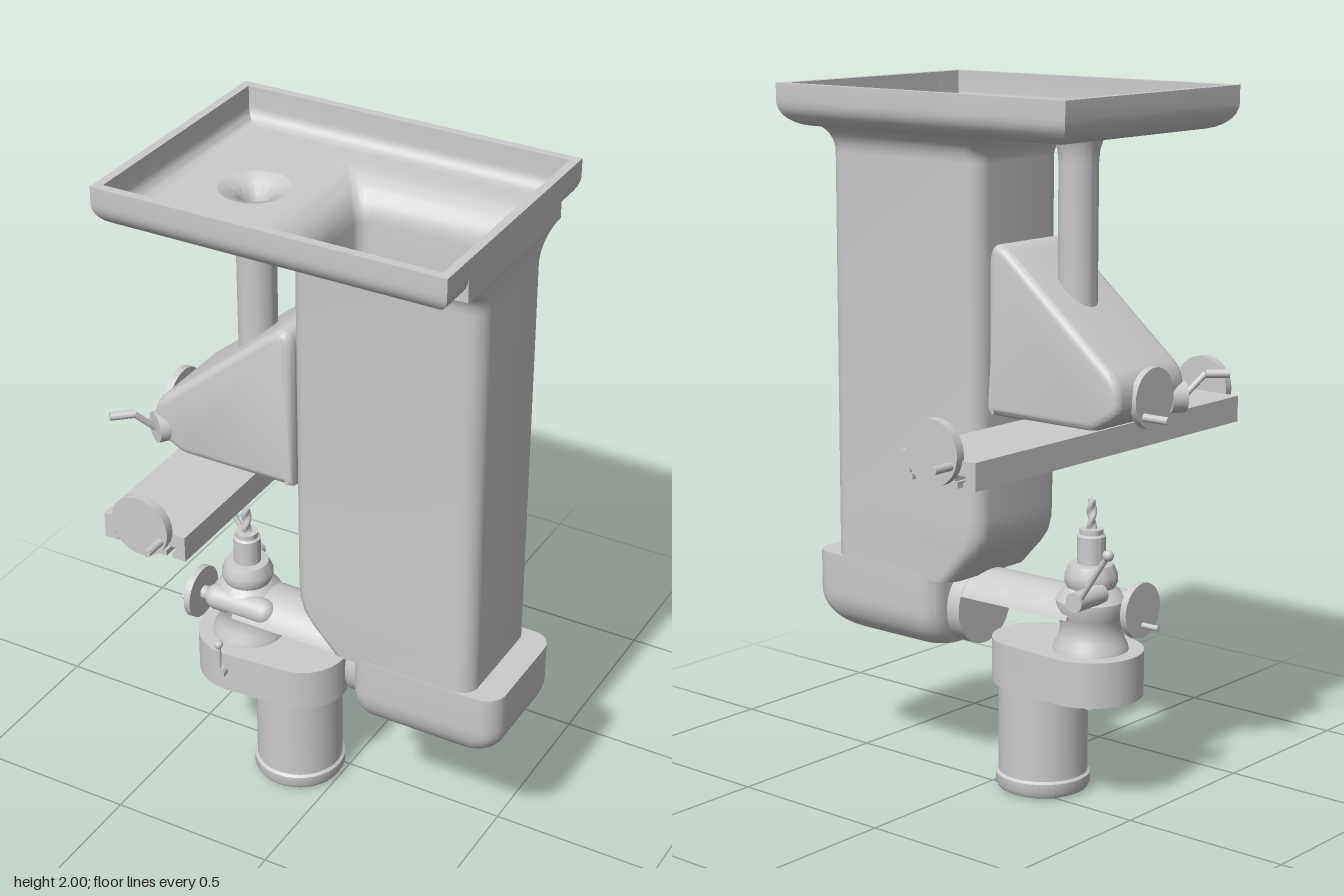
import * as THREE from 'three';
import { toCreasedNormals } from 'three/addons/utils/BufferGeometryUtils.js';

const MAT = new THREE.MeshStandardMaterial({ color: 0xcccccc, side: THREE.DoubleSide });
const V = (x, y, z) => new THREE.Vector3(x, y, z);
const ZC = 0.065; // centre plane of the machine
const HX = -0.305; // spindle axis

export function createModel() {
  const root = new THREE.Group();

  const add = (name, geo) => {
    const m = new THREE.Mesh(geo, MAT);
    m.name = name;
    root.add(m);
    return m;
  };

  // Cylinder or cone between two points
  const rod = (name, a, b, r, r2 = r, seg = 32) => {
    const m = add(name, new THREE.CylinderGeometry(r2, r, a.distanceTo(b), seg));
    m.position.copy(a).lerp(b, 0.5);
    m.quaternion.setFromUnitVectors(V(0, 1, 0), b.clone().sub(a).normalize());
    return m;
  };
  const ball = (name, p, r) => add(name, new THREE.SphereGeometry(r, 20, 14)).position.copy(p);
  const lathe = (name, x, pts) => {
    const geo = new THREE.LatheGeometry(pts.map(p => new THREE.Vector2(p[0], p[1])), 48);
    add(name, toCreasedNormals(geo, 0.6)).position.set(x, 0, ZC);
  };

  // Skin joining cross-sections that share a point count
  const loft = (name, rings, { closed = true, capEnd = false } = {}) => {
    const n = rings[0].length, pos = rings.flat().flatMap(p => [p.x, p.y, p.z]), idx = [];
    for (let i = 0; i < rings.length - 1; i++) {
      for (let j = 0; j < (closed ? n : n - 1); j++) {
        const a = i * n + j, b = i * n + (j + 1) % n;
        idx.push(a, b, a + n, b, b + n, a + n);
      }
    }
    if (capEnd) {
      const s = (rings.length - 1) * n;
      for (let j = 1; j < n - 1; j++) idx.push(s, s + j, s + j + 1);
    }
    const g = new THREE.BufferGeometry();
    g.setAttribute('position', new THREE.Float32BufferAttribute(pos, 3));
    g.setIndex(idx);
    return add(name, toCreasedNormals(g, 0.6));
  };

  // Horizontal rounded rectangle at height y
  const ring = (y, x0, x1, z0, z1, r) => {
    const pts = [];
    [[x1 - r, z1 - r], [x0 + r, z1 - r], [x0 + r, z0 + r], [x1 - r, z0 + r]].forEach(([cx, cz], q) => {
      for (let i = 0; i <= 8; i++) {
        const t = (q + i / 8) * Math.PI / 2;
        pts.push(V(cx + r * Math.cos(t), y, cz + r * Math.sin(t)));
      }
    });
    return pts;
  };
  const quarter = (n, f) => Array.from({ length: n + 1 }, (_, i) => f(i / n * Math.PI / 2));

  // Hollow column: flared mouth, straight walls, sloping foot
  const column = (name, x0, x1, z0, z1, top, flare, r, foot) => loft(name, [
    ...quarter(10, t => {
      const e = flare * (1 - Math.sin(t));
      return ring(top - flare * (1 - Math.cos(t)), x0 - e, x1, z0 - e, z1 + e, 0.004 + (r - 0.004) * Math.sin(t));
    }),
    ...[[0, 0.8], [0.003, 0.75], [0.015, 0.71], [0.04, 0.675], [0.11, foot]]
      .map(([d, y]) => ring(y, x0 + d, x1, z0, z1, r)),
  ], { capEnd: true });
  column('columnOuter', -0.045, 0.515, -0.115, 0.245, 1.88, 0.085, 0.05, 0.6);
  column('columnInner', -0.02, 0.49, -0.09, 0.22, 1.9, 0.11, 0.04, 0.625);

  // Tray: lipped rim left open where the column meets it
  const T = { x0: -0.51, x1: 0.515, z0: -0.32, z1: 0.445 }, G0 = -0.2, G1 = 0.33, notch = -0.13;
  const trayPath = (d, y) => [
    V(T.x1 - d, y, G0), V(T.x1 - d, y, T.z0 + d), V(T.x0 + d, y, T.z0 + d),
    V(T.x0 + d, y, T.z1 - d), V(T.x1 - d, y, T.z1 - d), V(T.x1 - d, y, G1),
  ];
  loft('trayRim', [
    ...quarter(8, t => trayPath(0.08 * (1 - Math.sin(t)), 1.95 - 0.07 * Math.cos(t))),
    trayPath(0, 2), trayPath(0.025, 2),
    ...quarter(8, t => trayPath(0.025 + 0.04 * (1 - Math.cos(t)), 1.94 - 0.04 * Math.sin(t))),
  ], { closed: false });
  const plate = (name, d, y, hole) => {
    const pts = [...trayPath(d, 0), V(notch, 0, G1), V(notch, 0, G0)];
    const s = new THREE.Shape(pts.map(p => new THREE.Vector2(p.x, p.z)));
    s.holes.push(new THREE.Path().absarc(-0.25, ZC, hole, 0, Math.PI * 2, true));
    add(name, new THREE.ShapeGeometry(s, 24).rotateX(Math.PI / 2).translate(0, y, 0));
  };
  plate('trayUnderside', 0.08, 1.88, 0.09);
  plate('trayFloor', 0.065, 1.9, 0.1);
  add('trayEndWall', new THREE.BoxGeometry(0.025, 0.12, G1 - G0)).position.set(0.5025, 1.94, ZC);

  // Post under the tray with a dished mouth
  lathe('supportPost', -0.25, [
    [0, 1.78], [0.033, 1.78], [0.033, 1.83], [0.04, 1.86], [0.06, 1.885], [0.1, 1.9],
  ]);
  lathe('supportPostOuter', -0.25, [
    [0.055, 1.25], [0.055, 1.8], [0.058, 1.835], [0.068, 1.865], [0.09, 1.88],
  ]);
  rod('postScrew', V(-0.25, 1.77, ZC), V(-0.25, 1.81, ZC), 0.015);

  // Knee: rounded wedge with soft edges
  const roundedShape = corners => {
    const s = new THREE.Shape(), n = corners.length;
    corners.forEach(([x, y, r], i) => {
      const c = new THREE.Vector2(x, y);
      const toward = k => c.clone().add(new THREE.Vector2(...corners[k].slice(0, 2)).sub(c).setLength(r));
      const a = toward((i + n - 1) % n), b = toward((i + 1) % n);
      i ? s.lineTo(a.x, a.y) : s.moveTo(a.x, a.y);
      s.quadraticCurveTo(c.x, c.y, b.x, b.y);
    });
    s.closePath();
    return s;
  };
  const kneeShape = roundedShape([[-0.055, 1.1, 0.005], [-0.055, 1.62, 0.11], [-0.51, 1.24, 0.05],
    [-0.505, 1.15, 0.03], [-0.42, 1.1, 0.02]]);
  add('knee', toCreasedNormals(new THREE.ExtrudeGeometry(kneeShape, {
    depth: 0.26, bevelEnabled: true, bevelSize: 0.025, bevelOffset: -0.025, bevelThickness: 0.025,
    bevelSegments: 5, curveSegments: 10,
  }).translate(0, 0, ZC - 0.13), 0.6));

  // Knee crank and cross-feed wheel
  const c = [V(-0.475, 1.165, 0.185), V(-0.5, 1.165, 0.22), V(-0.535, 1.225, 0.27), V(-0.585, 1.225, 0.315)];
  rod('kneeCrankHub', c[0], c[1], 0.045);
  rod('kneeCrankArm', c[1], c[2], 0.009);
  rod('kneeCrankHandle', c[2], c[3], 0.012);
  rod('crossFeedWheel', V(-0.5, 1.185, ZC - 0.005), V(-0.52, 1.185, ZC - 0.005), 0.085);
  rod('crossFeedHandle', V(-0.52, 1.14, 0.015), V(-0.6, 1.14, 0.015), 0.011);

  // Work table with three T-slots underneath
  const ts = new THREE.Shape();
  ts.moveTo(-0.435, 1.105).lineTo(-0.435, 1.03);
  for (const x of [-0.385, -0.3075, -0.23]) {
    for (const [dx, y] of [[-0.009, 1.03], [-0.009, 1.047], [-0.018, 1.047], [-0.018, 1.065],
      [0.018, 1.065], [0.018, 1.047], [0.009, 1.047], [0.009, 1.03]]) ts.lineTo(x + dx, y);
  }
  ts.lineTo(-0.18, 1.03).lineTo(-0.18, 1.105);
  add('workTable', new THREE.ExtrudeGeometry(ts, { depth: 1.155, bevelEnabled: false }).translate(0, 0, -0.58));
  for (const [s, hx] of [[1, -0.24], [-1, -0.37]]) {
    rod('tableWheel', V(HX, 1.117, s * 0.575), V(HX, 1.117, s * 0.602), 0.088, 0.088, 48);
    rod('tableHandle', V(hx, 1.09, s * 0.6), V(hx, 1.09, s * 0.667), 0.011);
  }

  // Rounded base under the column
  loft('base', [
    ring(0.615, 0.4, 0.5, 0, 0.1, 0.05), ring(0.615, 0.13, 0.597, -0.117, 0.247, 0.06),
    ...quarter(10, t => {
      const e = 1 - Math.cos(t);
      return ring(0.5 - 0.115 * Math.sin(t), 0.13 + 0.02 * e, 0.597 - 0.12 * e,
        -0.117 + 0.09 * e, 0.247 - 0.09 * e, 0.06);
    }),
  ], { capEnd: true });

  // Arm: circular segment leaving a round flange
  rod('armFlange', V(0.085, 0.5, ZC), V(0.14, 0.5, ZC), 0.115, 0.115, 48);
  const armShape = new THREE.Shape().absarc(0, 0.5, 0.114, 0.4, Math.PI - 0.4, false);
  add('arm', toCreasedNormals(new THREE.ExtrudeGeometry(armShape, {
    depth: 0.45, bevelEnabled: false, curveSegments: 24,
  }).rotateY(Math.PI / 2).translate(-0.3, 0, ZC), 0.6));

  // Spindle head, collar, quill and cutter
  lathe('spindleHead', HX, [
    [0, 0.44], [0.108, 0.44], [0.104, 0.46], [0.092, 0.48], [0.086, 0.51], [0.09, 0.54], [0.1, 0.56],
    [0.1, 0.59], [0.085, 0.61], [0.068, 0.625], [0.075, 0.64], [0.075, 0.66], [0.062, 0.69],
    [0.04, 0.692], [0.04, 0.77], [0.033, 0.775], [0.033, 0.79], [0, 0.79],
  ]);
  const cutter = new THREE.CylinderGeometry(0.012, 0.012, 0.085, 24, 20);
  const p = cutter.attributes.position;
  for (let i = 0; i < p.count; i++) {
    const k = 1 + 0.22 * Math.cos(2 * Math.atan2(p.getZ(i), p.getX(i)) + p.getY(i) * 130);
    p.setXYZ(i, p.getX(i) * k, p.getY(i), p.getZ(i) * k);
  }
  cutter.computeVertexNormals();
  add('cutter', cutter).position.set(HX, 0.83, ZC);
  rod('drawbar', V(HX, 0.265, ZC), V(HX, 0.32, ZC), 0.012);

  // Worm housing with its wheel on the head
  const worm = add('wormHousing', new THREE.CapsuleGeometry(0.038, 0.155, 8, 24));
  worm.rotation.z = Math.PI / 2;
  worm.position.set(-0.292, 0.575, 0.13);
  rod('wormShaft', V(-0.44, 0.567, 0.12), V(-0.38, 0.567, 0.12), 0.02);
  rod('headWheel', V(-0.445, 0.567, 0.12), V(-0.425, 0.567, 0.12), 0.079);
  rod('headWheelHandle', V(-0.5, 0.525, 0.12), V(-0.445, 0.525, 0.12), 0.008);

  // Quill lever at the back
  rod('quillLeverHub', V(-0.365, 0.62, 0.03), V(-0.365, 0.62, -0.09), 0.028);
  rod('quillLever', V(-0.37, 0.615, -0.08), V(-0.475, 0.77, -0.08), 0.008);
  ball('quillLeverKnob', V(-0.475, 0.77, -0.08), 0.016);

  // Belt housing spanning spindle and motor
  const bs = new THREE.Shape();
  bs.absarc(HX, 0, 0.15, Math.PI / 2, Math.PI * 1.5, false);
  bs.absarc(-0.12, 0, 0.135, -Math.PI / 2, Math.PI / 2, false);
  bs.closePath();
  add('beltHousing', toCreasedNormals(new THREE.ExtrudeGeometry(bs, {
    depth: 0.13, bevelEnabled: false, curveSegments: 28,
  }).rotateX(Math.PI / 2).translate(0, 0.445, ZC), 0.6));

  // Small brake lever on the housing front
  rod('brakeLeverHub', V(-0.31, 0.385, 0.2), V(-0.31, 0.385, 0.235), 0.02);
  rod('brakeLever', V(-0.31, 0.385, 0.228), V(-0.31, 0.485, 0.228), 0.007);
  ball('brakeLeverKnob', V(-0.31, 0.485, 0.228), 0.013);

  // Motor with a rounded end cap
  lathe('motor', -0.135, [
    [0, 0], [0.115, 0], [0.128, 0.006], [0.136, 0.02], [0.136, 0.048], [0.128, 0.054], [0.128, 0.32],
  ]);

  return root;
}
